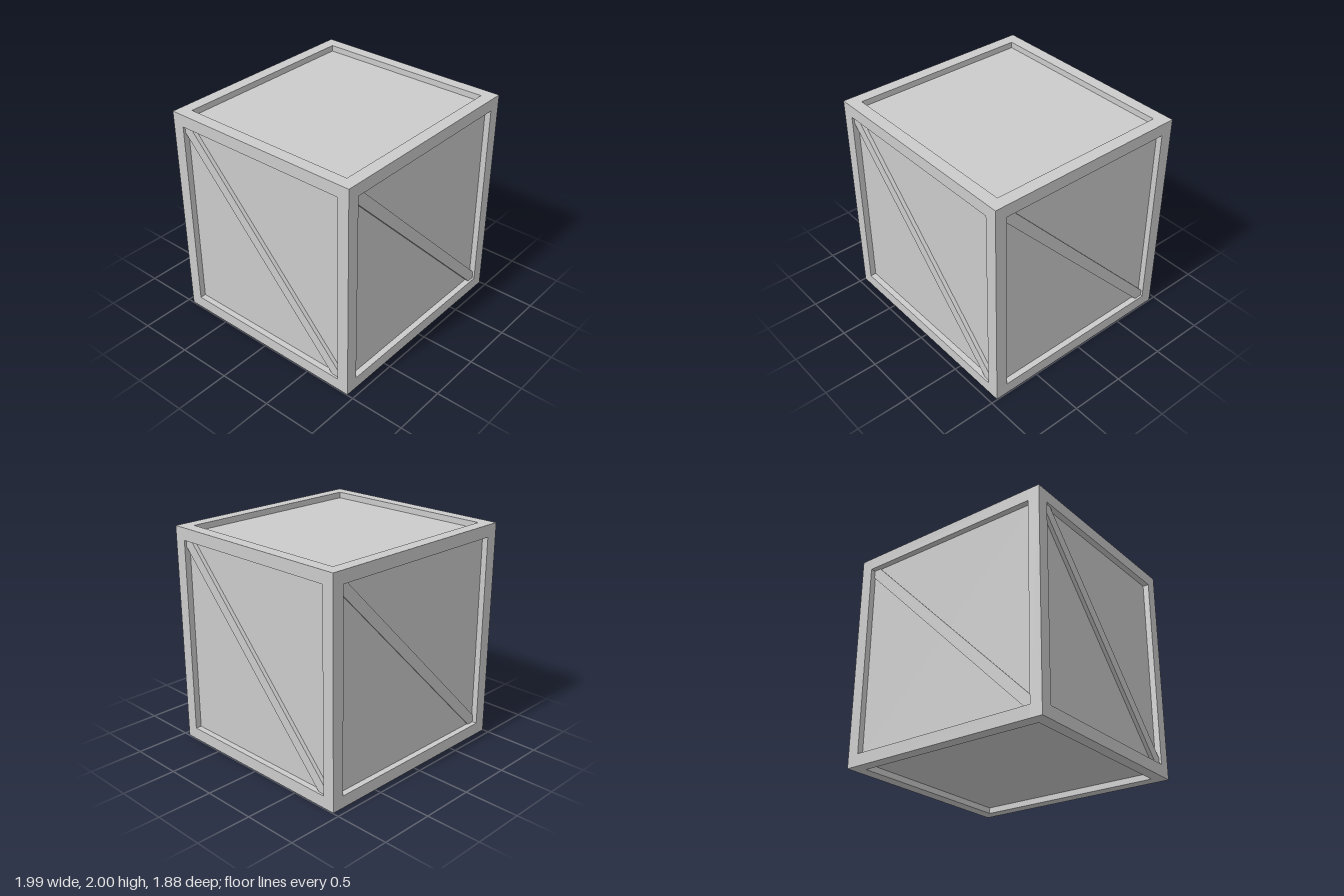
import * as THREE from 'three';

const X = 0.995, Z = 0.94, H = 2;   // half width, half depth, height
const BAR = 0.11;                   // frame bar thickness
const RECESS = 0.055;               // how far panels sit behind the frame

export function createModel() {
  const crate = new THREE.Group();
  crate.name = 'crate';
  const material = new THREE.MeshStandardMaterial({ color: 0xcccccc, flatShading: true });

  function add(name, geometry, x, y, z, rotY = 0) {
    const mesh = new THREE.Mesh(geometry, material);
    mesh.name = name;
    mesh.position.set(x, y, z);
    mesh.rotation.y = rotY;
    crate.add(mesh);
  }

  // Recessed panels on all six sides form one core block
  add('panels', new THREE.BoxGeometry(2 * (X - RECESS), H - 2 * RECESS, 2 * (Z - RECESS)), 0, H / 2, 0);

  // Frame: four posts with rails fitted between them
  const post = new THREE.BoxGeometry(BAR, H, BAR);
  const widthRail = new THREE.BoxGeometry(2 * (X - BAR), BAR, BAR);
  const depthRail = new THREE.BoxGeometry(BAR, BAR, 2 * (Z - BAR));
  const px = X - BAR / 2, pz = Z - BAR / 2;
  for (const a of [-1, 1]) {
    for (const b of [-1, 1]) {
      const y = H / 2 + b * (H - BAR) / 2;
      add('cornerPost', post, a * px, H / 2, b * pz);
      add('widthRail', widthRail, 0, y, a * pz);
      add('depthRail', depthRail, a * px, y, 0);
    }
  }

  // Diagonal brace: a band from top left to bottom right, cut to fit the opening
  function braceGeometry(half, cutX, cutY, rise) {
    const w = half, h = H / 2 - BAR;
    const shape = new THREE.Shape([
      [-w, h], [-w, h - cutY], [w - cutX, -h], [w, -h], [w, -h + cutY], [-w + cutX, h],
    ].map(([x, y]) => new THREE.Vector2(x, y)));
    return new THREE.ExtrudeGeometry(shape, { depth: rise, bevelEnabled: false });
  }
  const sideBrace = braceGeometry(Z - BAR, 0.075, 0.06, 0.035);
  add('frontBrace', braceGeometry(X - BAR, 0.07, 0.07, 0.035), 0, H / 2, Z - RECESS);
  add('backBrace', braceGeometry(X - BAR, 0.07, 0.07, 0.01), 0, H / 2, -Z + RECESS, Math.PI);
  add('leftBrace', sideBrace, X - RECESS, H / 2, 0, Math.PI / 2);
  add('rightBrace', sideBrace, -X + RECESS, H / 2, 0, -Math.PI / 2);

  return crate;
}
